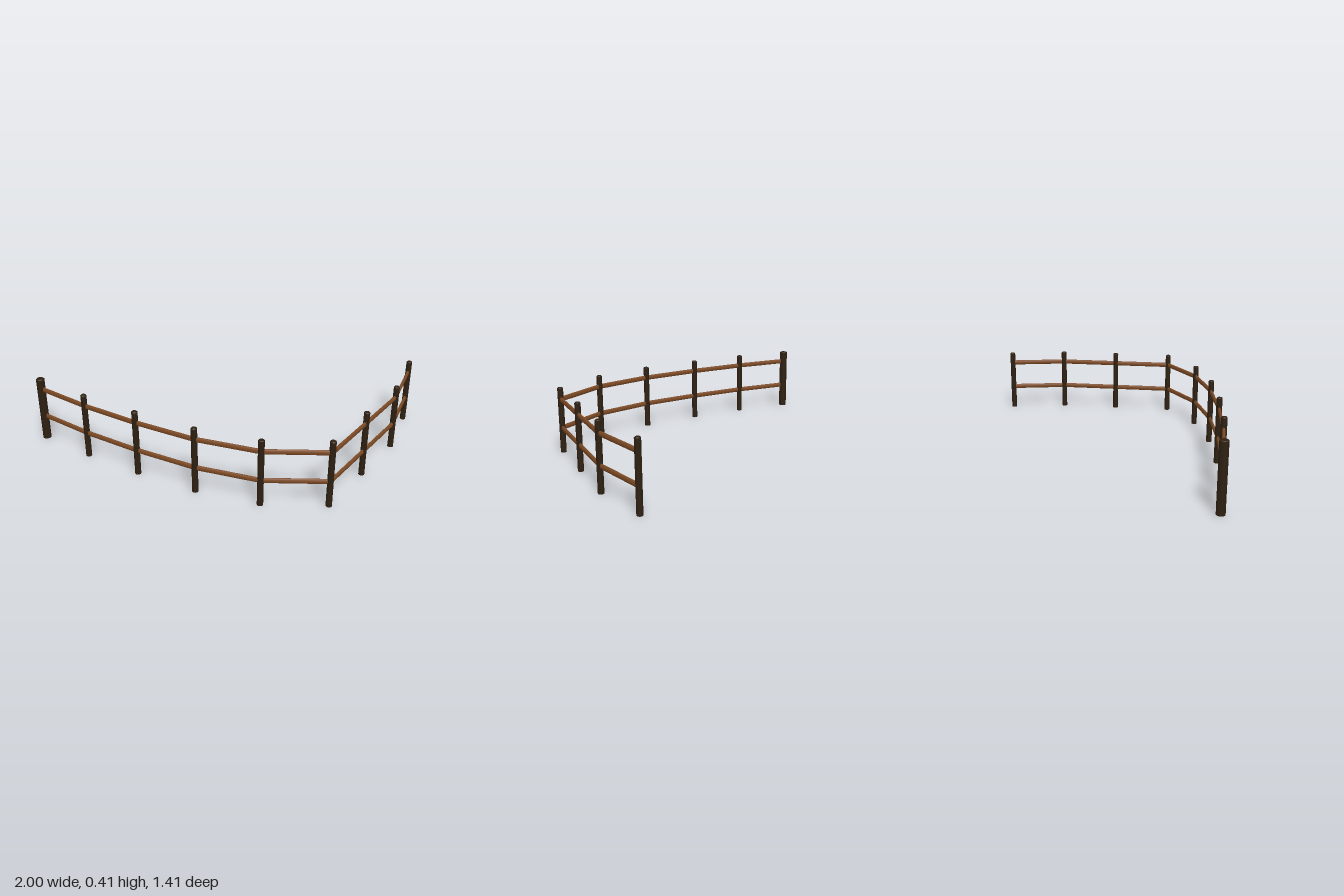
import * as THREE from 'three';

// Fence line seen from above: x, z of each post
const POSTS = [
  [-0.974, 0.604], [-0.605, 0.657], [-0.229, 0.683], [0.158, 0.684], [0.536, 0.627],
  [0.874, 0.46], [0.927, 0.076], [0.98, -0.31], [0.946, -0.689],
];
const RAIL_HEIGHTS = [0.158, 0.34];

const postMaterial = new THREE.MeshStandardMaterial({ color: 0x2e2012 });
const railMaterial = new THREE.MeshStandardMaterial({ color: 0x7d4a24 });

// Round post with a small bevel at the top
function makePost(radius, height) {
  const bevel = 0.005;
  const shaft = new THREE.CylinderGeometry(radius, radius, height - bevel, 12);
  shaft.translate(0, (height - bevel) / 2, 0);
  const post = new THREE.Group();
  const cap = new THREE.CylinderGeometry(radius - bevel, radius, bevel, 12);
  cap.translate(0, height - bevel / 2, 0);
  for (const [name, geometry] of [['postShaft', shaft], ['postCap', cap]]) {
    const mesh = new THREE.Mesh(geometry, postMaterial);
    mesh.name = name;
    post.add(mesh);
  }
  return post;
}

// Oval rail, taller than it is thick, running between two posts
function makeRail([x0, z0], [x1, z1], y) {
  const length = Math.hypot(x1 - x0, z1 - z0);
  const geometry = new THREE.CylinderGeometry(1, 1, length, 12);
  geometry.rotateX(Math.PI / 2);
  geometry.scale(0.009, 0.016, 1);
  const rail = new THREE.Mesh(geometry, railMaterial);
  rail.position.set((x0 + x1) / 2, y, (z0 + z1) / 2);
  rail.rotation.y = Math.atan2(x1 - x0, z1 - z0);
  return rail;
}

export function createModel() {
  const fence = new THREE.Group();
  fence.name = 'fence';

  POSTS.forEach(([x, z], i) => {
    // The first post is a thicker end post
    const post = i === 0 ? makePost(0.026, 0.411) : makePost(0.018, 0.414);
    post.name = i === 0 ? 'endPost' : `post${i}`;
    post.position.set(x, 0, z);
    fence.add(post);
  });

  for (let i = 0; i < POSTS.length - 1; i++) {
    RAIL_HEIGHTS.forEach((y, level) => {
      const rail = makeRail(POSTS[i], POSTS[i + 1], y);
      rail.name = `${level ? 'upper' : 'lower'}Rail${i + 1}`;
      fence.add(rail);
    });
  }
  return fence;
}
